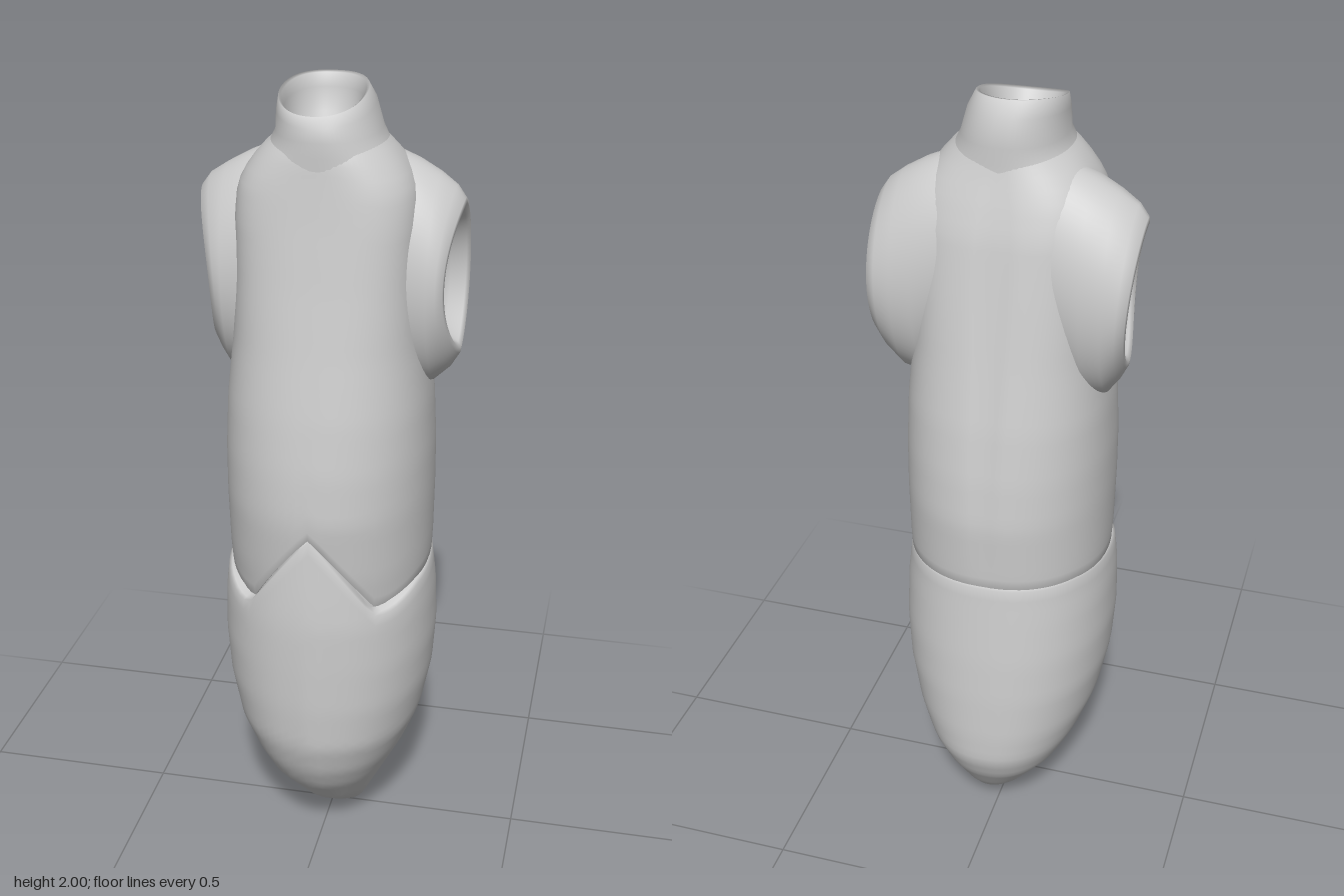
import * as THREE from 'three';

const N = 72;
const material = new THREE.MeshStandardMaterial({ color: 0xcccccc, side: THREE.DoubleSide });

// Linear lookup in rows of [key, value, value, ...]
function sample(table, key) {
  let i = 0;
  while (i < table.length - 2 && key > table[i + 1][0]) i++;
  const a = table[i], b = table[i + 1];
  const t = THREE.MathUtils.clamp((key - a[0]) / (b[0] - a[0]), 0, 1);
  return a.map((v, k) => v + (b[k] - v) * t);
}

const signedPow = (v, power) => Math.sign(v) * Math.pow(Math.abs(v), power);

// Skin a stack of closed rings; point(row, angle) returns [x, y, z]
function loft(name, rows, point) {
  const positions = [], index = [];
  for (let i = 0; i < rows; i++) {
    for (let j = 0; j < N; j++) positions.push(...point(i, (j / N) * Math.PI * 2));
  }
  for (let i = 0; i < rows - 1; i++) {
    for (let j = 0; j < N; j++) {
      const k = (j + 1) % N, a = i * N + j, b = i * N + k, c = b + N, d = a + N;
      index.push(a, b, c, a, c, d);
    }
  }
  const geometry = new THREE.BufferGeometry();
  geometry.setAttribute('position', new THREE.Float32BufferAttribute(positions, 3));
  geometry.setIndex(index);
  geometry.computeVertexNormals();
  const mesh = new THREE.Mesh(geometry, material);
  mesh.name = name;
  return mesh;
}

// Horizontal section: angle 0 is the front, row = [y, halfWidth, front, back, shiftX];
// a lower power gives a boxier outline
function section(row, angle, y, scale = 1, power = 0.92) {
  const [, rx, front, back, shift = 0] = row;
  const mid = (front + back) / 2, depth = (front - back) / 2;
  return [
    shift + rx * scale * signedPow(Math.sin(angle), power), y,
    mid + depth * scale * signedPow(Math.cos(angle), power),
  ];
}

// Hem height around the body, with a notch at the front
const HEM = [[0, 0.955], [0.62, 0.75], [0.82, 0.755], [1.2, 0.785], [1.57, 0.797], [2.2, 0.815], [Math.PI, 0.82]];
const hem = (angle) => sample(HEM, Math.min(angle, Math.PI * 2 - angle))[1];

const LOWER = [
  [0, 0.0, -0.03, -0.05, 0.05], [0.015, 0.04, 0.02, -0.12, 0.045], [0.05, 0.075, 0.075, -0.155, 0.025],
  [0.1, 0.108, 0.14, -0.2, 0.014], [0.2, 0.17, 0.228, -0.272, 0], [0.27, 0.205, 0.268, -0.302, 0],
  [0.36, 0.24, 0.298, -0.304, 0], [0.48, 0.264, 0.307, -0.3, 0], [0.6, 0.272, 0.31, -0.292, 0],
  [0.72, 0.268, 0.311, -0.28, 0], [0.8, 0.258, 0.305, -0.272, 0], [0.96, 0.25, 0.29, -0.26, 0],
];

// Last value is the power of the outline: the chest is boxier than the waist
const TORSO = [
  [0.74, 0.25, 0.27, -0.264, 0.92], [0.85, 0.256, 0.288, -0.272, 0.92], [1, 0.258, 0.303, -0.278, 0.92],
  [1.12, 0.257, 0.295, -0.266, 0.9], [1.25, 0.25, 0.277, -0.246, 0.86], [1.4, 0.232, 0.25, -0.216, 0.8],
  [1.55, 0.222, 0.225, -0.187, 0.72], [1.7, 0.22, 0.203, -0.158, 0.68], [1.77, 0.212, 0.194, -0.137, 0.72],
  [1.82, 0.185, 0.188, -0.12, 0.8], [1.86, 0.15, 0.184, -0.108, 0.9], [1.89, 0.115, 0.17, -0.1, 0.92],
];

// Collar rings, outside then inside: [y at back, halfWidth, front, back, shiftX, drop at front]
const COLLAR = [
  [1.81, 0.18, 0.187, -0.115, 0, 0], [1.86, 0.142, 0.188, -0.11, 0, 0.005], [1.9, 0.122, 0.188, -0.112, 0, 0.01],
  [1.965, 0.112, 0.185, -0.106, -0.007, 0.045], [2, 0.101, 0.172, -0.078, -0.012, 0.055],
  [1.997, 0.094, 0.164, -0.066, -0.012, 0.057], [1.965, 0.09, 0.155, -0.06, -0.012, 0.045],
  [1.91, 0.08, 0.135, -0.05, -0.012, 0.015], [1.86, 0.055, 0.1, -0.015, -0.01, 0], [1.845, 0, 0.045, 0.045, -0.01, 0],
];

// Sleeve rings, outside then inside: [x, top, bottom, halfDepth]
const SLEEVE = [
  [0.06, 1.86, 1.36, 0.14], [0.14, 1.847, 1.32, 0.148], [0.2, 1.822, 1.275, 0.152],
  [0.25, 1.793, 1.285, 0.15], [0.285, 1.765, 1.32, 0.147], [0.305, 1.735, 1.355, 0.135],
  [0.307, 1.722, 1.368, 0.12], [0.298, 1.708, 1.38, 0.11], [0.265, 1.68, 1.4, 0.094],
  [0.242, 1.63, 1.44, 0.065], [0.234, 1.58, 1.49, 0.03], [0.232, 1.535, 1.535, 0],
];

export function createModel() {
  const group = new THREE.Group();
  group.name = 'torso';

  // Rounded lower body, rolled inward under the hem
  const lowerRows = 36;
  group.add(loft('lowerBody', lowerRows + 3, (i, a) => {
    const t = Math.min(i / lowerRows, 1), roll = Math.max(i - lowerRows, 0);
    const y = hem(a) * Math.pow(t, 1.3) + roll * 0.006;
    const p = section(sample(LOWER, y), a, y, [1, 0.975, 0.92][roll]);
    // soft keel down the front
    p[2] += 0.006 * Math.exp(-Math.pow(p[0] / 0.03, 2)) * Math.max(Math.cos(a), 0) * Math.sin(Math.PI * t);
    return p;
  }));

  // Upper body from hem to neck
  const upperRows = 40;
  group.add(loft('upperBody', upperRows + 3, (i, a) => {
    const t = Math.max(i - 2, 0) / upperRows, start = hem(a) + 0.008;
    const y = start + (1.89 - start) * t + (i === 0 ? 0.012 : 0);
    const [key, rx, front, back, power] = sample(TORSO, y);
    const p = section([key, rx, front, back], a, y, i === 0 ? 0.92 : i === 1 ? 0.975 : 1, power);
    // shallow groove along the spine
    if (Math.cos(a) < 0) p[2] += 0.01 * Math.exp(-Math.pow(p[0] / 0.022, 2)) * Math.sin(Math.PI * t);
    return p;
  }));

  // Neck opening, lower at the front, with a hollow
  group.add(loft('collar', COLLAR.length, (i, a) =>
    section(COLLAR[i], a, COLLAR[i][0] - COLLAR[i][5] * Math.pow((1 + Math.cos(a)) / 2, 1.5))));

  // Shoulders with hollow arm openings
  for (const side of [1, -1]) {
    const shoulder = loft(side > 0 ? 'leftShoulder' : 'rightShoulder', SLEEVE.length, (i, a) => {
      const [x, top, bottom, rz] = SLEEVE[i];
      const c = Math.cos(a), s = Math.sin(a);
      // rim pulled in at the front edge, openings slightly pointed above and below
      const outer = THREE.MathUtils.clamp((x - 0.235) / 0.06, 0, 1);
      const lean = outer * ((side > 0 ? 0.006 : 0.015 * c) - 0.03 * Math.pow(Math.max(s, 0), 2));
      const taper = signedPow(s, 1 + 0.3 * outer);
      return [x + lean, (top + bottom) / 2 + ((top - bottom) / 2) * c, -0.008 + rz * taper];
    });
    shoulder.scale.x = side;
    group.add(shoulder);
  }
  return group;
}
